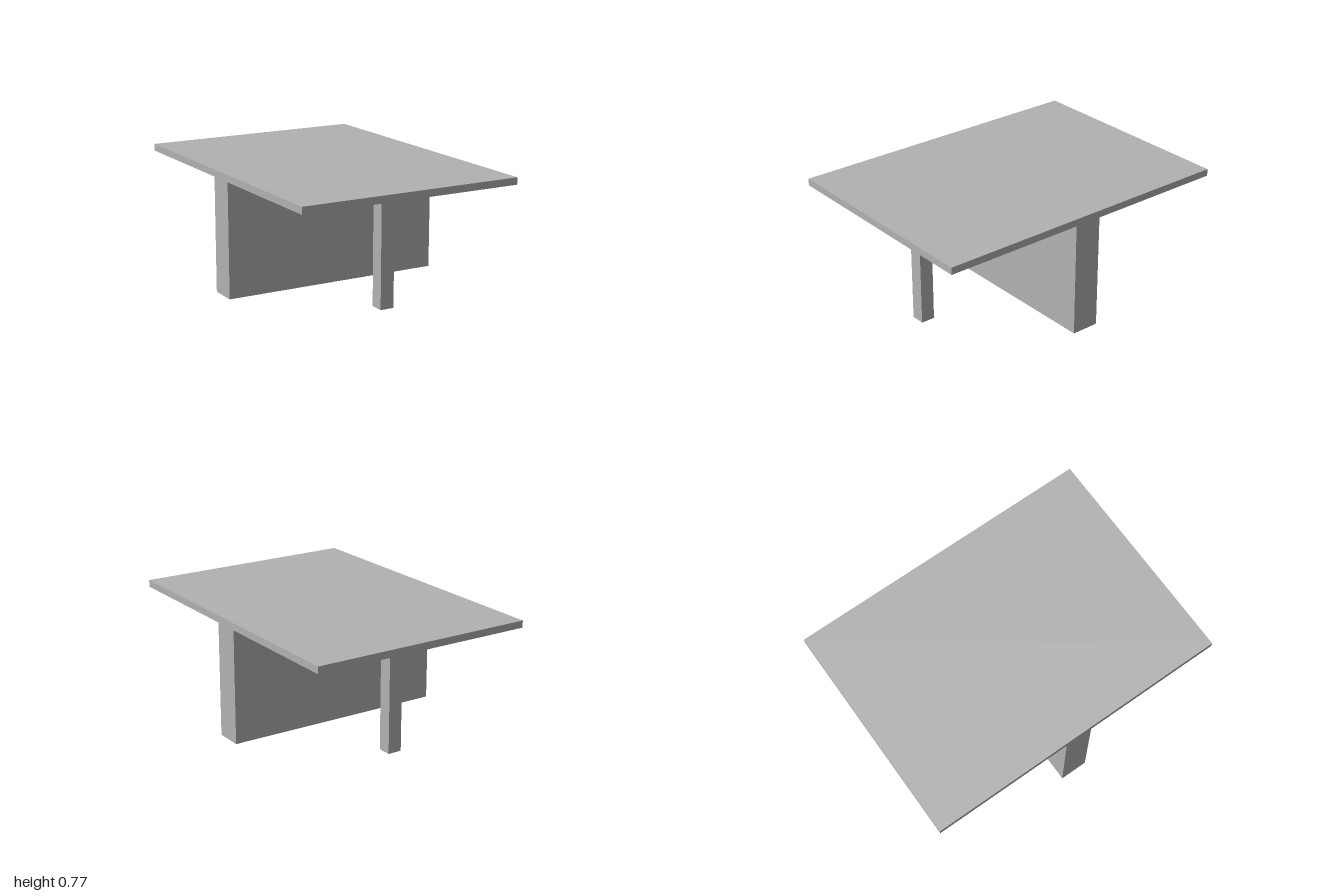
import * as THREE from 'three';

export function createModel() {
  const group = new THREE.Group();
  const grey = new THREE.MeshStandardMaterial({ color: 0xb2b2b2 });
  grey.name = 'plain grey';

  const width = 1.454, length = 2, height = 0.774, underside = 0.729;

  // Box resting on y = bottom
  function addBox(name, w, h, d, bottom, z = 0) {
    const mesh = new THREE.Mesh(new THREE.BoxGeometry(w, h, d), grey);
    mesh.name = name;
    mesh.position.set(0, bottom + h / 2, z);
    group.add(mesh);
  }

  // Table top
  addBox('tableTop', width, height - underside, length, underside);

  // Full-width central support, flush with the sides of the top
  addBox('centrePanel', width, underside, 0.18, 0);

  // One square leg on the centre line near each end
  addBox('frontLeg', 0.09, underside, 0.09, 0, 0.682);
  addBox('backLeg', 0.09, underside, 0.09, 0, -0.682);

  return group;
}
